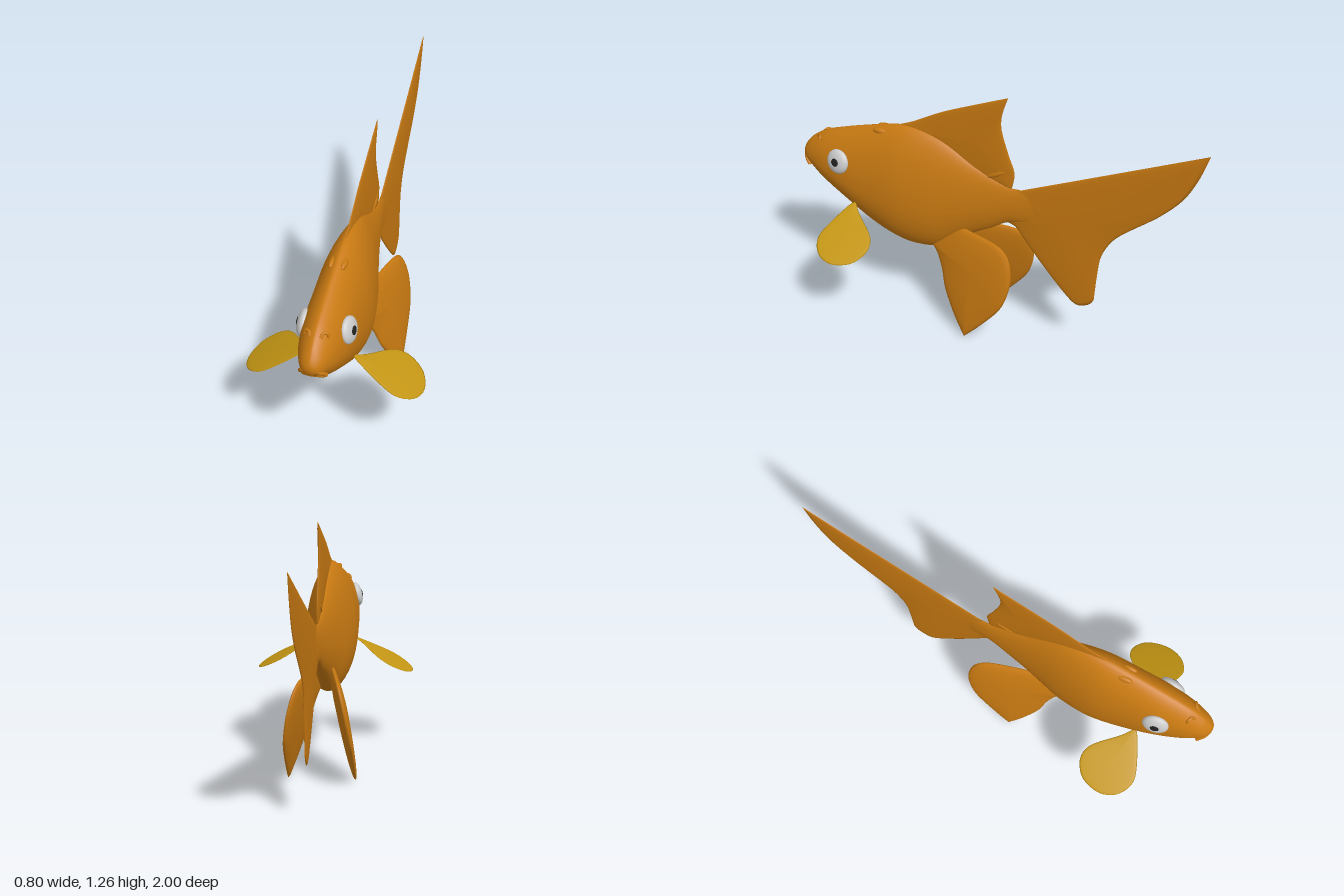
import * as THREE from 'three';

const mat = (color, side = THREE.FrontSide) => new THREE.MeshStandardMaterial({ color, side });

// Smooth surface through rows of points; each row is a closed loop
function loft(rows) {
  const n = rows[0].length, index = [];
  for (let i = 0; i < rows.length - 1; i++) {
    for (let j = 0; j < n; j++) {
      const k = (j + 1) % n, a = i * n, b = a + n;
      index.push(a + j, b + j, a + k, a + k, b + j, b + k);
    }
  }
  const geo = new THREE.BufferGeometry();
  geo.setAttribute('position', new THREE.Float32BufferAttribute(rows.flat(2), 3));
  geo.setIndex(index);
  geo.computeVertexNormals();
  return geo;
}

// Lens-shaped fin: the outline is made of smooth arcs meeting at sharp corners
function finGeometry(arcs, [cu, cv], thick, place) {
  const rim = arcs.flatMap((arc) => {
    const pts = arc.map(([u, v]) => new THREE.Vector2(u, v));
    return new THREE.SplineCurve(pts).getPoints((arc.length - 1) * 4).slice(0, -1);
  });
  const steps = [0, 0.3, 0.55, 0.75, 0.88, 0.96, 1];
  const ring = (r, s) => rim.map((p) => place(
    cu + (p.x - cu) * r, cv + (p.y - cv) * r, s * thick * Math.sqrt(1 - r * r)));
  return loft([...steps.map((r) => ring(r, 1)), ...steps.slice(0, -1).reverse().map((r) => ring(r, -1))]);
}

function bodyGeometry() {
  // z, top, bottom, half width
  const sections = [
    [1.0, 0.745, 0.735, 0.002], [0.995, 0.765, 0.715, 0.024], [0.975, 0.795, 0.69, 0.046],
    [0.94, 0.83, 0.66, 0.064], [0.87, 0.875, 0.605, 0.088], [0.75, 0.92, 0.53, 0.112],
    [0.61, 0.965, 0.44, 0.122], [0.48, 1.0, 0.385, 0.127], [0.38, 1.005, 0.37, 0.118],
    [0.28, 0.985, 0.385, 0.1], [0.2, 0.95, 0.435, 0.08], [0.1, 0.89, 0.505, 0.056],
    [0.0, 0.84, 0.565, 0.036], [-0.09, 0.81, 0.622, 0.022], [-0.2, 0.8, 0.64, 0.01],
    [-0.3, 0.78, 0.66, 0.002],
  ];
  const heights = new THREE.SplineCurve(sections.map((s) => new THREE.Vector2(s[1], s[2])));
  const widths = new THREE.SplineCurve(sections.map((s) => new THREE.Vector2(s[0], s[3])));
  const rows = [], n = 48, m = 75;
  for (let i = 0; i <= m; i++) {
    const { x: top, y: bottom } = heights.getPoint(i / m);
    const { x: z, y: w } = widths.getPoint(i / m);
    const mid = bottom + (top - bottom) * 0.4;
    rows.push(Array.from({ length: n }, (_, j) => {
      const a = (j / n) * Math.PI * 2, c = Math.cos(a), s = Math.sin(a);
      // Full belly, narrow back
      const x = Math.sign(c) * Math.abs(c) ** (s > 0 ? 1.3 : 0.95) * w;
      return [x, mid + s * (s > 0 ? top - mid : mid - bottom), z];
    }));
  }
  return loft(rows);
}

const tube = (pts, r) => new THREE.TubeGeometry(
  new THREE.CatmullRomCurve3(pts.map((p) => new THREE.Vector3(...p))), 20, r, 8);

export function createModel() {
  const model = new THREE.Group();
  model.name = 'fish';
  const orange = mat(0xc97a12), orangeFin = mat(0xc97a12, THREE.DoubleSide);
  const yellow = mat(0xc49614, THREE.DoubleSide), white = mat(0xcccccc), black = mat(0x222222);
  const add = (parent, name, geo, material, pos, scale) => {
    const mesh = new THREE.Mesh(geo, material);
    mesh.name = name;
    if (pos) mesh.position.set(...pos);
    if (scale) mesh.scale.set(...scale);
    parent.add(mesh);
    return mesh;
  };
  const ball = new THREE.SphereGeometry(1, 28, 18);

  add(model, 'body', bodyGeometry(), orange);

  // Upright fins lie in the z-y plane
  const upright = (u, v, w) => [w, v, u];
  add(model, 'tailFin', finGeometry([
    [[-0.05, 0.81], [-0.14, 0.812], [-0.22, 0.845], [-1, 1.215]],
    [[-1, 1.215], [-0.96, 1.09], [-0.9, 0.97], [-0.8, 0.855], [-0.68, 0.75], [-0.6, 0.67],
      [-0.55, 0.57], [-0.535, 0.46], [-0.525, 0.31]],
    [[-0.525, 0.31], [-0.5, 0.275], [-0.44, 0.255], [-0.38, 0.3], [-0.28, 0.41],
      [-0.18, 0.53], [-0.12, 0.605], [-0.05, 0.62]],
    [[-0.05, 0.62], [-0.05, 0.81]],
  ], [-0.36, 0.68], 0.01, upright), orangeFin);
  add(model, 'dorsalFin', finGeometry([
    [[0.5, 0.99], [0.4, 1.035], [0.25, 1.12], [0.1, 1.19], [-0.08, 1.27]],
    [[-0.08, 1.27], [-0.052, 1.18], [-0.05, 1.1], [-0.085, 0.98], [-0.115, 0.89], [-0.1, 0.8]],
    [[-0.1, 0.8], [0.1, 0.84], [0.3, 0.93], [0.5, 0.99]],
  ], [0.06, 1.0], 0.01, upright), orangeFin);
  const fold = add(model, 'dorsalFinFold', ball, orange, [0, 0.865, -0.025], [0.012, 0.013, 0.06]);
  fold.rotation.x = 0.5;

  // Mouth lips, turned down at the corners
  add(model, 'upperLip', tube([[-0.056, 0.688, 0.95], [-0.036, 0.718, 0.978], [0, 0.738, 0.99],
    [0.036, 0.718, 0.978], [0.056, 0.688, 0.95]], 0.009), orange);
  add(model, 'lowerLip', tube([[-0.044, 0.678, 0.948], [-0.025, 0.695, 0.968], [0, 0.704, 0.98],
    [0.025, 0.695, 0.968], [0.044, 0.678, 0.948]], 0.009), orange);

  const pelvic = finGeometry([
    [[0.07, 0.005], [0.13, 0.08], [0.2, 0.2], [0.23, 0.3], [0.27, 0.38], [0.315, 0.43],
      [0.27, 0.49], [0.17, 0.545], [0.05, 0.545], [-0.08, 0.53], [-0.14, 0.48],
      [-0.16, 0.38], [-0.14, 0.28], [-0.1, 0.2], [0, 0.08], [0.07, 0.005]],
  ], [0.06, 0.36], 0.027, (u, v, w) => [0.178 - 0.2 * v - 0.2 * u + w, v, u]);
  const pectoral = finGeometry([
    [[0.09, 0.68], [0.12, 0.705], [0.24, 0.76], [0.31, 0.77], [0.375, 0.725], [0.4, 0.645],
      [0.375, 0.555], [0.32, 0.51], [0.27, 0.505], [0.22, 0.535], [0.14, 0.635], [0.09, 0.68]],
  ], [0.27, 0.645], 0.006, (u, v, w) => [u, 0.565 - 0.52 * (u - 0.1) + w, v]);

  // Paired parts, mirrored
  for (const [side, s] of [['left', 1], ['right', -1]]) {
    const half = new THREE.Group();
    half.name = side + 'Parts';
    half.scale.x = s;
    model.add(half);
    add(half, side + 'PelvicFin', pelvic, orangeFin);
    add(half, side + 'PectoralFin', pectoral, yellow);

    const eye = new THREE.Group();
    eye.name = side + 'Eye';
    eye.position.set(0.099, 0.777, 0.76);
    eye.rotation.set(0, -0.15, 0.22);
    half.add(eye);
    add(eye, 'eyeball', ball, white, null, [0.026, 0.06, 0.06]);
    add(eye, 'pupil', ball, black, [0.018, 0, 0], [0.01, 0.026, 0.026]);

    // Nostril ridge and small bump on the crown
    add(half, side + 'Nostril', tube([[0.022, 0.838, 0.908], [0.03, 0.853, 0.893],
      [0.044, 0.85, 0.885], [0.052, 0.832, 0.885]], 0.007), orange);
    add(half, side + 'CrownBump', ball, orange, [0.026, 0.955, 0.56], [0.014, 0.016, 0.04]);
  }
  return model;
}
